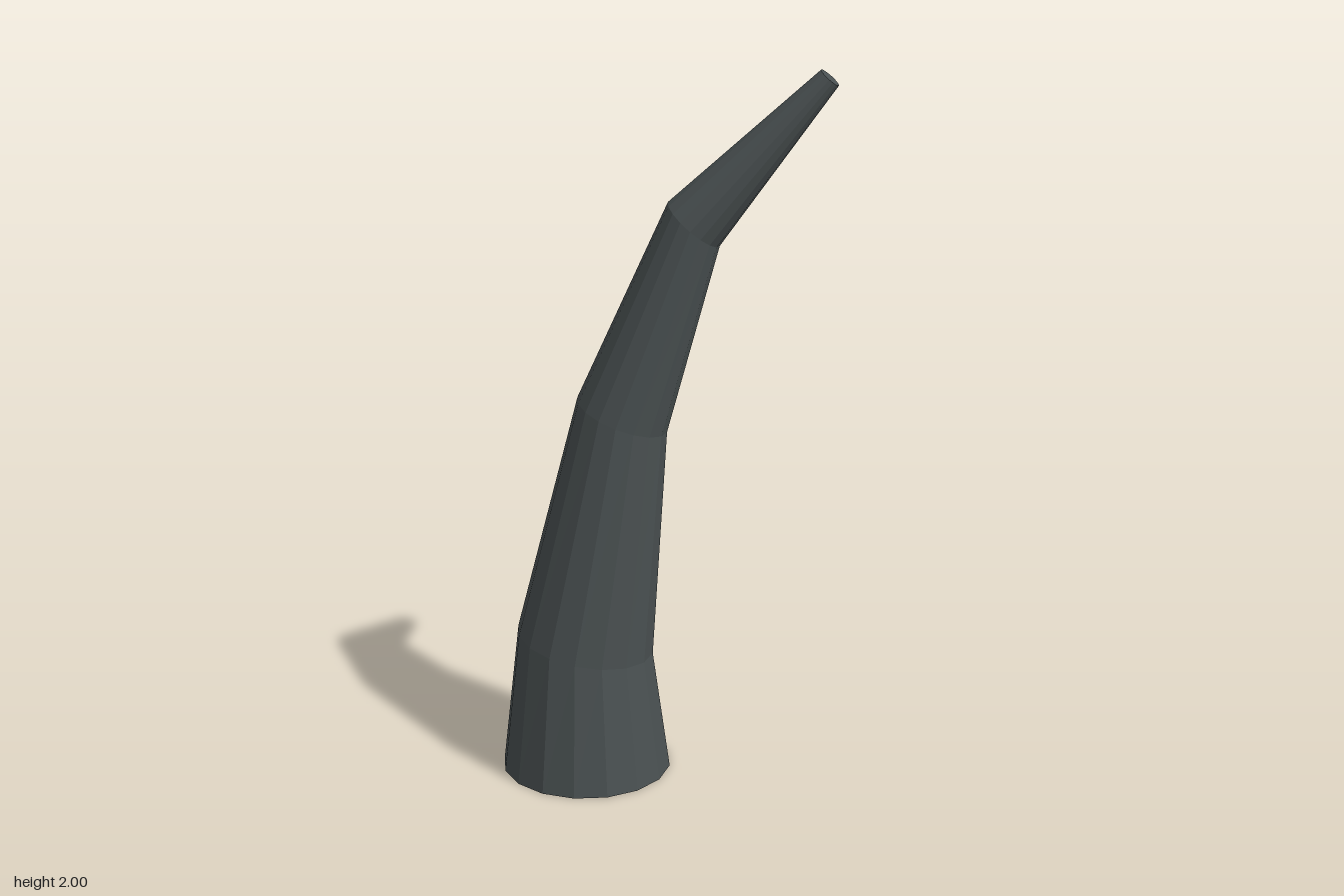
import * as THREE from 'three';

const SIDES = 16;

// Leftmost and rightmost point (x, y) of each tilted circular ring, base to tip
const RINGS = [
  [-0.457, 0, 0.018, 0],
  [-0.41, 0.41, -0.03, 0.345],
  [-0.235, 1.09, 0.01, 1.0],
  [0.012, 1.64, 0.15, 1.525],
  [0.408, 2.0, 0.455, 1.96],
];

export function createModel() {
  const positions = [];
  const index = [];

  // Ring vertices: each circle spans its left-right diameter and the z axis
  for (const [lx, ly, rx, ry] of RINGS) {
    const cx = (lx + rx) / 2, cy = (ly + ry) / 2;
    const ux = (rx - lx) / 2, uy = (ry - ly) / 2;
    const r = Math.hypot(ux, uy);
    for (let j = 0; j < SIDES; j++) {
      const t = (j / SIDES) * Math.PI * 2;
      positions.push(cx + ux * Math.cos(t), cy + uy * Math.cos(t), r * Math.sin(t));
    }
  }

  // Side walls between neighbouring rings
  for (let i = 0; i < RINGS.length - 1; i++) {
    for (let j = 0; j < SIDES; j++) {
      const a = i * SIDES + j, b = i * SIDES + (j + 1) % SIDES;
      index.push(a, a + SIDES, b, b, a + SIDES, b + SIDES);
    }
  }

  // Flat caps at the base and the blunt tip
  const top = (RINGS.length - 1) * SIDES;
  for (let j = 1; j < SIDES - 1; j++) {
    index.push(0, j, j + 1);
    index.push(top, top + j + 1, top + j);
  }

  const geometry = new THREE.BufferGeometry();
  geometry.setAttribute('position', new THREE.Float32BufferAttribute(positions, 3));
  geometry.setIndex(index);
  const faceted = geometry.toNonIndexed();
  faceted.computeVertexNormals();

  const horn = new THREE.Mesh(
    faceted,
    new THREE.MeshStandardMaterial({ color: 0x4a5152, flatShading: true })
  );
  horn.name = 'horn';

  const group = new THREE.Group();
  group.name = 'curvedHorn';
  group.add(horn);
  return group;
}
